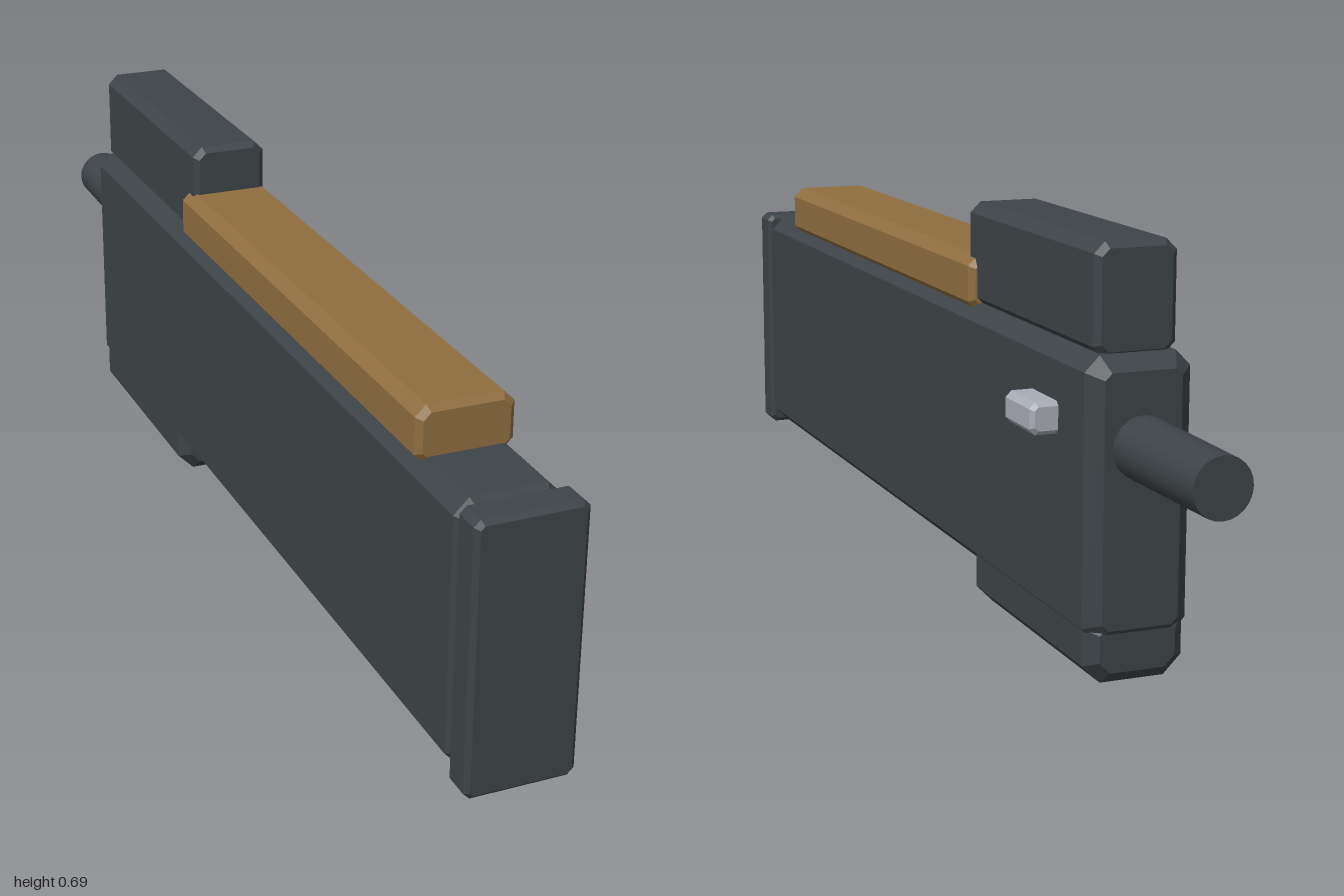
import * as THREE from 'three';

const darkMetal = new THREE.MeshStandardMaterial({ color: 0x3d4347 });
const woodBrown = new THREE.MeshStandardMaterial({ color: 0x906e40 });
const paleSteel = new THREE.MeshStandardMaterial({ color: 0xa8acb5 });
const AXIS = -0.022; // centre line of the main parts

// Box with cut corners along z and a single bevel on both ends
function cutBox(name, material, [x0, x1], [y0, y1], [z0, z1], cut, bevel) {
  const shape = new THREE.Shape([
    [x0 + cut, y0], [x1 - cut, y0], [x1, y0 + cut], [x1, y1 - cut],
    [x1 - cut, y1], [x0 + cut, y1], [x0, y1 - cut], [x0, y0 + cut],
  ].map(([x, y]) => new THREE.Vector2(x, y)));
  const geometry = new THREE.ExtrudeGeometry(shape, {
    depth: z1 - z0 - 2 * bevel,
    bevelEnabled: true,
    bevelThickness: bevel,
    bevelSize: bevel,
    bevelOffset: -bevel,
    bevelSegments: 1,
  });
  geometry.translate(0, 0, z0 + bevel);
  const mesh = new THREE.Mesh(geometry, material);
  mesh.name = name;
  return mesh;
}

// x range of a part centred on the main axis
const wide = (w) => [AXIS - w / 2, AXIS + w / 2];

export function createModel() {
  const model = new THREE.Group();
  model.name = 'model';

  model.add(
    // Long housing and its flat end cap
    cutBox('body', darkMetal, wide(0.176), [0.066, 0.516], [-0.745, 0.945], 0.025, 0.024),
    cutBox('endCap', darkMetal, wide(0.184), [0.056, 0.519], [0.94, 1], 0.011, 0.008),
    // Strip and raised block on top
    cutBox('topRail', woodBrown, wide(0.163), [0.5, 0.597], [-0.24, 0.785], 0.018, 0.01),
    cutBox('topBlock', darkMetal, wide(0.137), [0.508, 0.685], [-0.717, -0.198], 0.018, 0.01),
    // Block underneath
    cutBox('lowerBlock', darkMetal, wide(0.168), [0, 0.12], [-0.738, -0.258], 0.03, 0.02),
    // Small side handle
    cutBox('sideHandle', paleSteel, [0.04, 0.112], [0.376, 0.428], [-0.627, -0.519], 0.01, 0.007),
  );

  // Round rod leaving the back
  const rodGeometry = new THREE.CylinderGeometry(0.051, 0.048, 0.3, 24);
  rodGeometry.rotateX(Math.PI / 2);
  const rod = new THREE.Mesh(rodGeometry, darkMetal);
  rod.name = 'rearRod';
  rod.position.set(AXIS, 0.374, -0.85);
  model.add(rod);

  return model;
}
